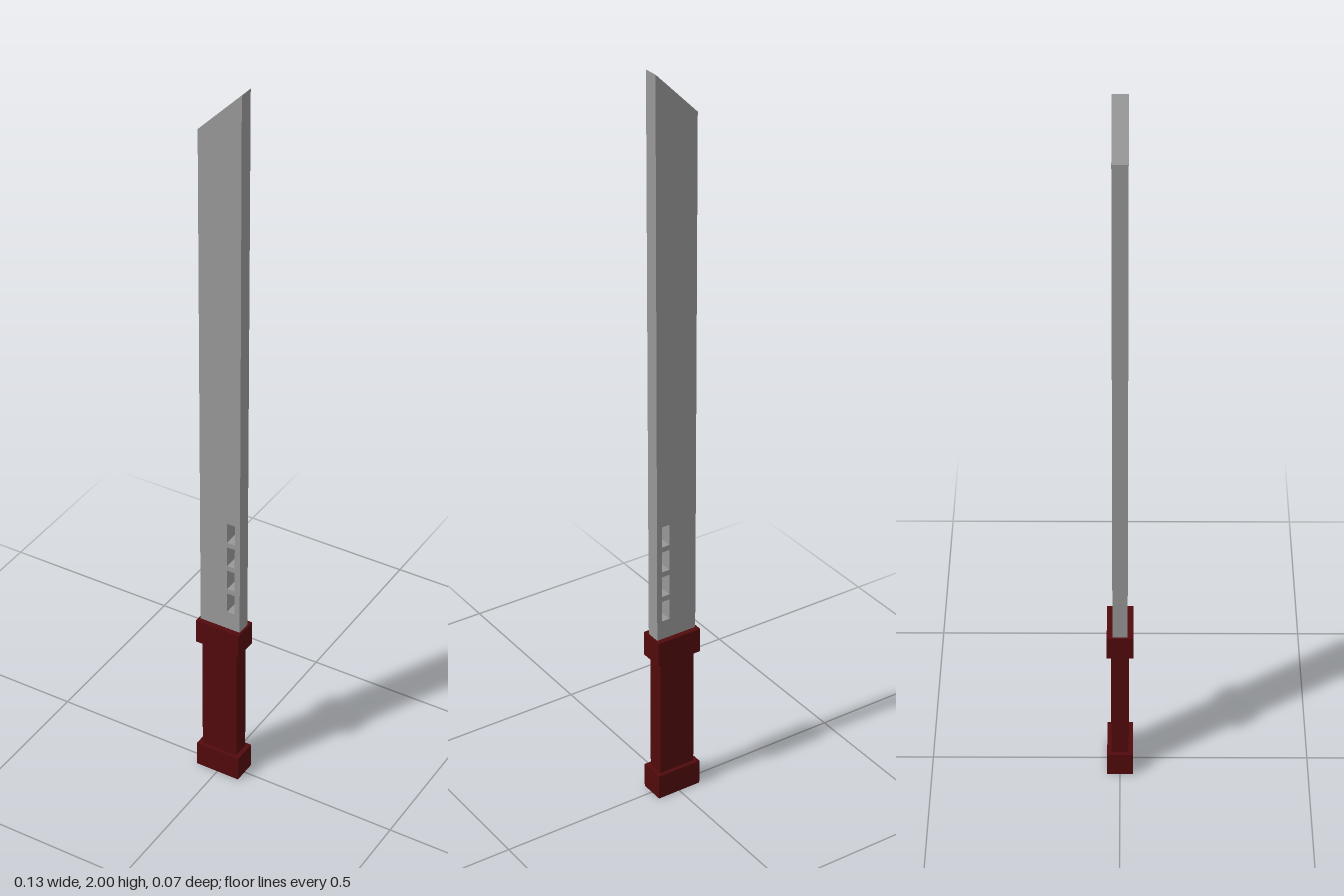
import * as THREE from 'three';

export function createModel() {
  const model = new THREE.Group();
  const steel = new THREE.MeshStandardMaterial({ name: 'steel grey', color: 0x979797 });
  const red = new THREE.MeshStandardMaterial({ name: 'dark red', color: 0x520a0c });

  const add = (name, geometry, material) => {
    const mesh = new THREE.Mesh(geometry, material);
    mesh.name = name;
    model.add(mesh);
    return mesh;
  };
  const box = (name, width, depth, y0, y1) => {
    add(name, new THREE.BoxGeometry(width, y1 - y0, depth), red).position.y = (y0 + y1) / 2;
  };

  // Handle: grip between two wider collars
  box('pommel', 0.127, 0.068, 0, 0.07);
  box('grip', 0.103, 0.046, 0.07, 0.413);
  box('guard', 0.127, 0.068, 0.413, 0.481);

  // Blade: slanted tip and a column of slots cut right through
  const outline = (points) => points.map(([x, y]) => new THREE.Vector2(x, y));
  const blade = new THREE.Shape(outline([[-0.058, 0.481], [0.058, 0.481], [0.058, 2], [-0.058, 1.885]]));
  for (let i = 0; i < 4; i++) {
    const y0 = 0.534 + i * 0.0725, y1 = y0 + 0.058;
    blade.holes.push(new THREE.Path(outline([[0.021, y0], [0.021, y1], [0.043, y1], [0.043, y0]])));
  }
  const depth = 0.039;
  const bladeGeometry = new THREE.ExtrudeGeometry(blade, { depth, bevelEnabled: false });
  bladeGeometry.translate(0, 0, -depth / 2);
  add('blade', bladeGeometry, steel);

  return model;
}
